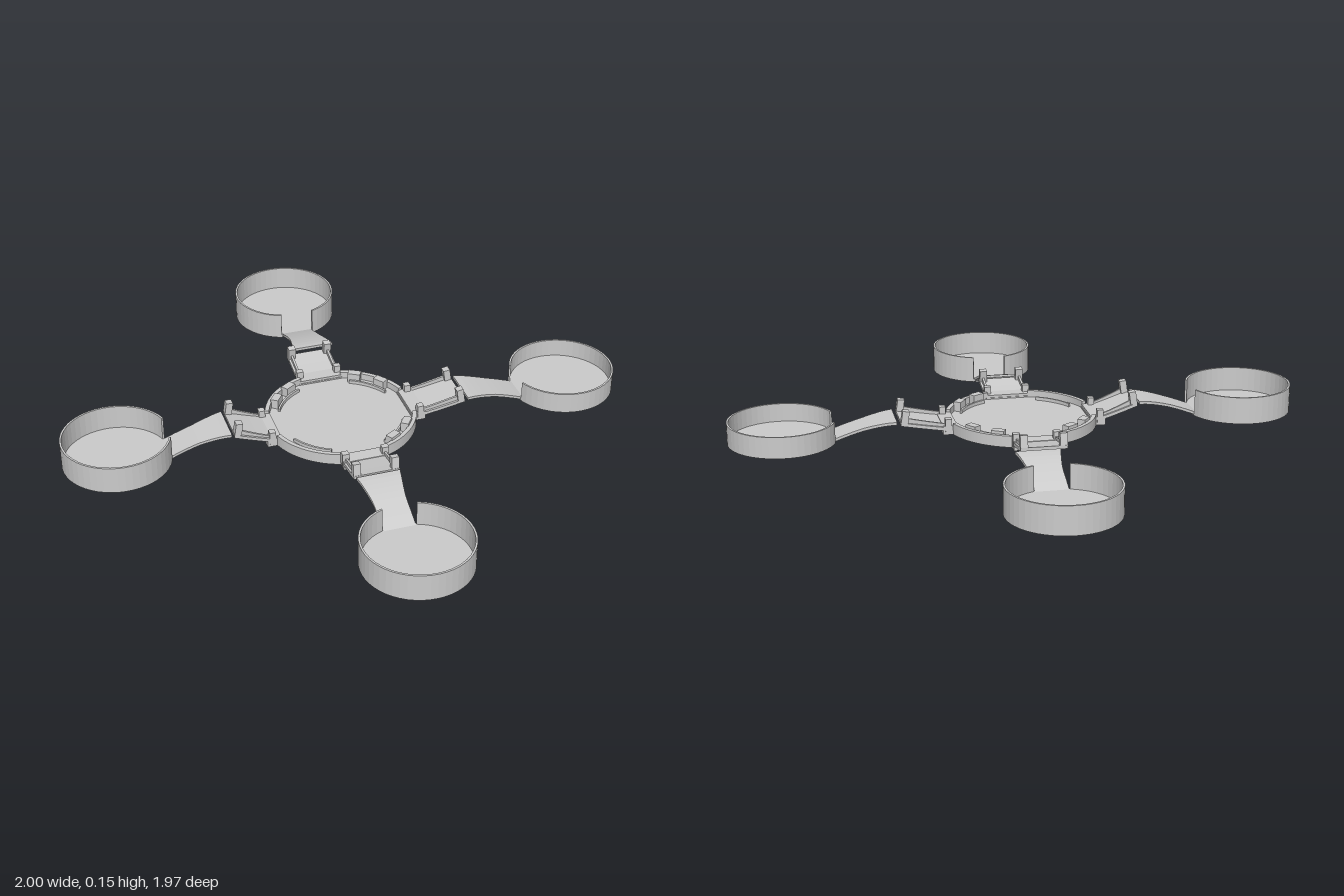
import * as THREE from 'three';

const material = new THREE.MeshStandardMaterial({ color: 0xcccccc, flatShading: true, side: THREE.DoubleSide });

function add(parent, name, geometry, x = 0, y = 0, z = 0) {
  const mesh = new THREE.Mesh(geometry, material);
  mesh.name = name;
  mesh.position.set(x, y, z);
  parent.add(mesh);
  return mesh;
}

function addGroup(parent, name, x = 0, z = 0, angle = 0) {
  const group = new THREE.Group();
  group.name = name;
  group.position.set(x, 0, z);
  group.rotation.y = angle;
  parent.add(group);
  return group;
}

// Upright curved wall between two angles, standing on y = 0
function arcWall(outer, inner, start, end, height, segments) {
  const shape = new THREE.Shape();
  shape.absarc(0, 0, outer, start, end, false);
  shape.absarc(0, 0, inner, end, start, true);
  return new THREE.ExtrudeGeometry(shape, { depth: height, bevelEnabled: false, curveSegments: segments })
    .rotateX(-Math.PI / 2);
}

// Bent strip along x; height and half width follow t from 0 to 1
function strip(x0, x1, thickness, heightAt, halfWidthAt, steps = 8) {
  const geometry = new THREE.BoxGeometry(1, thickness, 2, steps, 1, 1);
  const p = geometry.attributes.position;
  for (let i = 0; i < p.count; i++) {
    const t = p.getX(i) + 0.5;
    p.setXYZ(i, x0 + (x1 - x0) * t, p.getY(i) + heightAt(t), p.getZ(i) * halfWidthAt(t));
  }
  geometry.computeVertexNormals();
  return geometry;
}

const HUB = { x: -0.02, z: 0.008, radius: 0.265, bottom: 0.035 };

function buildHub(root) {
  const hub = addGroup(root, 'hub', HUB.x, HUB.z);
  add(hub, 'hubFloor', new THREE.CylinderGeometry(HUB.radius, HUB.radius, 0.016, 40), 0, HUB.bottom + 0.008, 0);
  for (let i = 0; i < 4; i++) {
    const a = i * Math.PI / 2;
    add(hub, 'hubRim', arcWall(HUB.radius, 0.25, a + 0.3, a + Math.PI / 2 - 0.3, 0.04, 10), 0, HUB.bottom, 0);
    add(hub, 'hubRib', arcWall(0.222, 0.215, a + 0.45, a + Math.PI / 2 - 0.45, 0.028, 8), 0, HUB.bottom, 0);
  }
  // Small locking tabs between the rim and the ribs
  for (const a of [0.62, 1.03, 3.76, 4.12, 5.23, 5.66]) {
    const tab = add(hub, 'rimTab', new THREE.BoxGeometry(0.028, 0.035, 0.045),
      Math.cos(a) * 0.238, 0.068, Math.sin(a) * 0.238);
    tab.rotation.y = -a;
  }
}

// Ramp rising from the hub, with side rails and corner clips
function buildInnerArm(root, { angle, innerEnd, tipY }) {
  const arm = addGroup(root, 'innerArm', HUB.x, HUB.z, angle);
  const start = 0.235;
  const height = t => 0.05 + (tipY - 0.055) * Math.pow(t, 1.15);
  add(arm, 'armPlate', strip(start, innerEnd, 0.012, height, () => 0.08));
  add(arm, 'armRoot', new THREE.BoxGeometry(0.05, 0.03, 0.16), 0.262, 0.05, 0);
  for (const side of [-1, 1]) {
    add(arm, 'armRail', strip(start + 0.03, innerEnd - 0.01, 0.02, t => height(t) + 0.011, () => 0.004),
      0, 0, side * 0.068);
    add(arm, 'hubClip', new THREE.BoxGeometry(0.022, 0.045, 0.024), 0.268, 0.068, side * 0.07);
    const clip = add(arm, 'tipClip', new THREE.BoxGeometry(0.024, 0.045, 0.026),
      innerEnd - 0.016, tipY + 0.018, side * 0.067);
    clip.rotation.z = 0.15;
  }
}

// Flared, drooping outer strip that carries an open cup
function buildOuterArm(root, { angle, shiftX, shiftZ, outerStart, tipY, cupAt, cupBottom, cupHeight }) {
  const arm = addGroup(root, 'outerArm', shiftX, shiftZ, angle);
  const endY = cupBottom + 0.007;
  add(arm, 'armBlade', strip(outerStart, cupAt - 0.165, 0.01,
    t => tipY - 0.003 - (tipY - endY) * Math.pow(t, 1.5),
    t => 0.056 + 0.02 * Math.pow(Math.max(0, 1 - t / 0.55), 1.2), 10));

  const cup = addGroup(arm, 'cup', cupAt, 0);
  add(cup, 'cupFloor', new THREE.CylinderGeometry(0.186, 0.186, 0.01, 24), 0, cupBottom + 0.005, 0);
  const gap = 0.33;
  add(cup, 'cupWall', arcWall(0.187, 0.18, gap - Math.PI, Math.PI - gap, cupHeight, 22), 0, cupBottom, 0);
}

export function createModel() {
  const root = new THREE.Group();
  root.name = 'fourArmFrame';
  buildHub(root);
  const arms = [
    { angle: 0, innerEnd: 0.433, tipY: 0.087, shiftX: 0, shiftZ: 0.01,
      outerStart: 0.425, cupAt: 0.813, cupBottom: 0.024, cupHeight: 0.075 },
    { angle: Math.PI / 2, innerEnd: 0.398, tipY: 0.082, shiftX: 0.008, shiftZ: 0,
      outerStart: 0.42, cupAt: 0.803, cupBottom: 0.013, cupHeight: 0.096 },
    { angle: Math.PI, innerEnd: 0.402, tipY: 0.108, shiftX: 0, shiftZ: 0.01,
      outerStart: 0.43, cupAt: 0.813, cupBottom: 0.04, cupHeight: 0.096 },
    { angle: -Math.PI / 2, innerEnd: 0.393, tipY: 0.08, shiftX: -0.018, shiftZ: 0,
      outerStart: 0.41, cupAt: 0.793, cupBottom: 0.004, cupHeight: 0.096 },
  ];
  for (const spec of arms) {
    buildInnerArm(root, spec);
    buildOuterArm(root, spec);
  }
  return root;
}
